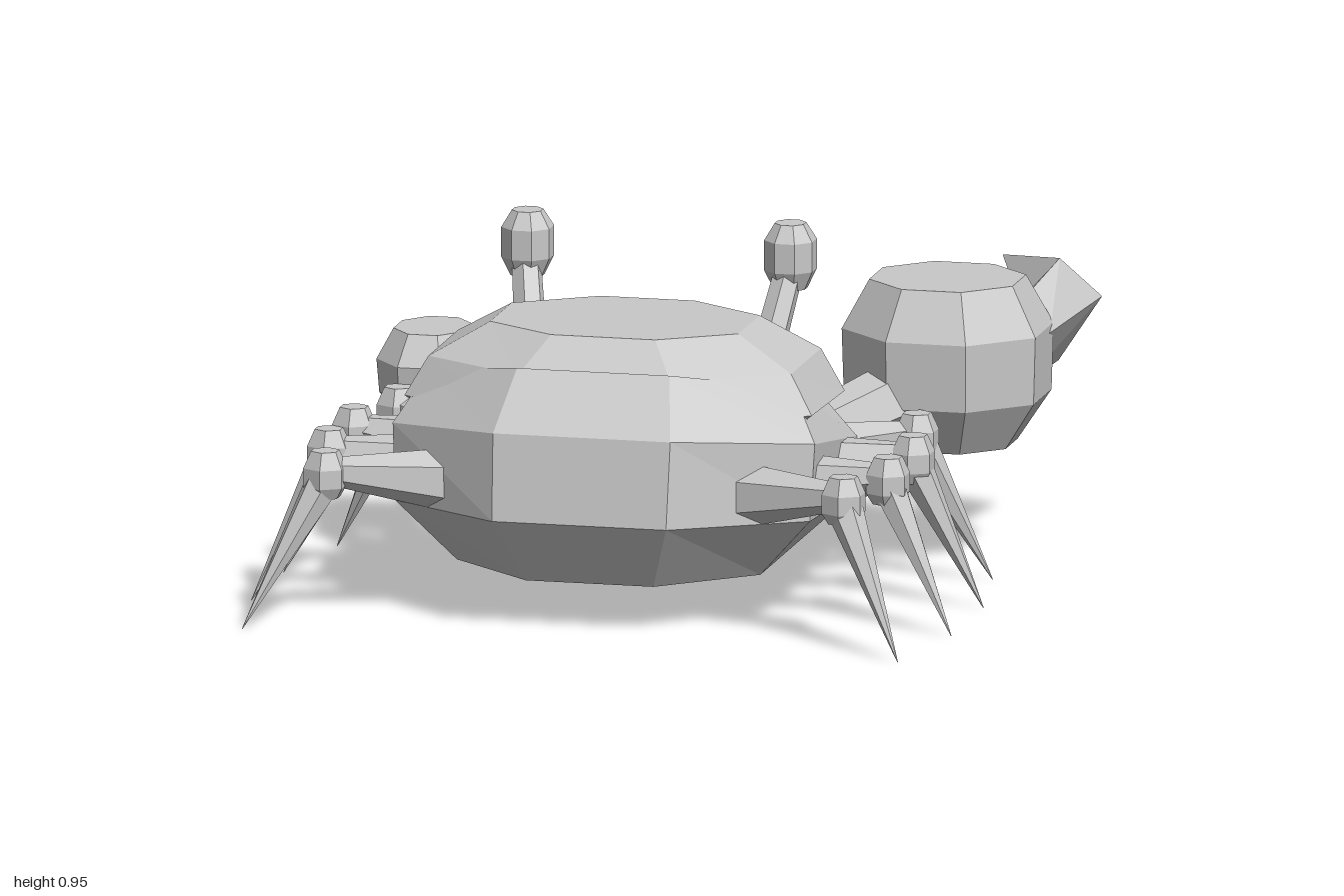
import * as THREE from 'three';
import { ConvexGeometry } from 'three/addons/geometries/ConvexGeometry.js';

const grey = new THREE.MeshStandardMaterial({ color: 0xc8c8c8, flatShading: true });
grey.name = 'shell grey';
const CX = -0.055; // mirror plane of the body
const V = (p) => new THREE.Vector3(...p);

function add(group, name, geometry) {
  const mesh = new THREE.Mesh(geometry, grey);
  mesh.name = name;
  group.add(mesh);
  return mesh;
}

// Joins closed rings of points, listed bottom to top, and caps both ends
function loft(rings) {
  const pos = [];
  const n = rings[0].length;
  const tri = (a, b, c) => pos.push(...a, ...b, ...c);
  const middle = (r) => [0, 1, 2].map((k) => r.reduce((s, p) => s + p[k], 0) / n);
  const bottom = rings[0], top = rings[rings.length - 1];
  for (let j = 0; j < n; j++) {
    const k = (j + 1) % n;
    for (let i = 0; i < rings.length - 1; i++) {
      const r = rings[i], s = rings[i + 1];
      tri(r[j], s[j], s[k]);
      tri(r[j], s[k], r[k]);
    }
    tri(middle(bottom), bottom[j], bottom[k]);
    tri(middle(top), top[k], top[j]);
  }
  const g = new THREE.BufferGeometry();
  g.setAttribute('position', new THREE.Float32BufferAttribute(pos, 3));
  g.computeVertexNormals();
  return g;
}

// Long octagon: heights and depths at the eye end and the tail end
function bodyRing(yFront, yBack, halfX, zFront, zBack) {
  const corners = [[1, 0.5], [0.42, 1], [-0.42, 1], [-1, 0.5], [-1, -0.45], [-0.38, -1], [0.38, -1], [1, -0.45]];
  return corners.map(([x, z]) => {
    const t = (z + 1) / 2;
    return [CX + x * halfX, yFront + (yBack - yFront) * t, zFront + (zBack - zFront) * t];
  });
}

// Regular ring with separate radii in x and z
function ring(x, y, z, rx, rz, n) {
  return Array.from({ length: n }, (_, i) => {
    const a = ((i + 0.5) / n) * Math.PI * 2;
    return [x + Math.cos(a) * rx, y, z + Math.sin(a) * rz];
  });
}

// Faceted knob from [y, scale] pairs
const knob = (x, z, rx, rz, n, profile) =>
  loft(profile.map(([y, s]) => ring(x, y, z, rx * s, rz * s, n)));

// Tapered rod between two points
function rod(from, to, r0, r1, sides = 6) {
  const a = V(from), b = V(to), d = b.clone().sub(a);
  const g = new THREE.CylinderGeometry(r1, r0, d.length(), sides);
  g.applyQuaternion(new THREE.Quaternion().setFromUnitVectors(V([0, 1, 0]), d.clone().normalize()));
  const m = a.add(b).multiplyScalar(0.5);
  return g.translate(m.x, m.y, m.z);
}

// Bent pincer: base and elbow sections, then a pointed tip
function pincer(group, name, base, elbow, tip) {
  add(group, name + 'Base', new ConvexGeometry([...base, ...elbow].map(V)));
  add(group, name + 'Tip', new ConvexGeometry([...elbow, tip].map(V)));
}

export function createModel() {
  const crab = new THREE.Group();
  crab.name = 'crab';

  // Belly and domed upper shell
  add(crab, 'belly', loft([
    bodyRing(0.13, 0.13, 0.41, -0.22, 0.63),
    bodyRing(0.25, 0.31, 0.56, -0.31, 0.75),
    bodyRing(0.38, 0.54, 0.57, -0.27, 0.72),
    bodyRing(0.46, 0.69, 0.49, -0.19, 0.59),
  ]));
  add(crab, 'upperShell', loft([
    bodyRing(0.54, 0.54, 0.52, -0.13, 0.58),
    bodyRing(0.55, 0.57, 0.55, -0.16, 0.62),
    bodyRing(0.67, 0.67, 0.49, -0.12, 0.58),
    bodyRing(0.76, 0.76, 0.335, -0.02, 0.48),
  ]));

  for (const side of [1, -1]) {
    const X = (d) => CX + side * d;
    const label = side > 0 ? 'left' : 'right';

    // Eye stalk, eye and pupil
    const eye = new THREE.Group();
    eye.name = label + 'Eye';
    crab.add(eye);
    add(eye, 'eyeStalk', rod([X(0.315), 0.6, -0.02], [X(0.355), 0.83, -0.13], 0.045, 0.04));
    add(eye, 'eyeball', knob(X(0.355), -0.145, 0.07, 0.072, 8,
      [[0.78, 0.65], [0.83, 1], [0.91, 1], [0.955, 0.6]]));
    add(eye, 'pupil', rod([X(0.355), 0.895, -0.2], [X(0.355), 0.895, -0.22], 0.036, 0.026, 8));

    // Four legs: hip x, hip z, knee x, knee z, tip x, tip z
    const legs = [
      [0.42, 0.02, 0.7, -0.13, 0.885, -0.21],
      [0.5, 0.14, 0.755, 0.14, 0.945, 0.14],
      [0.5, 0.38, 0.755, 0.42, 0.945, 0.5],
      [0.4, 0.54, 0.7, 0.69, 0.885, 0.85],
    ];
    legs.forEach(([hx, hz, kx, kz, tx, tz], i) => {
      const leg = new THREE.Group();
      leg.name = label + 'Leg' + (i + 1);
      crab.add(leg);
      add(leg, 'thigh', rod([X(hx), 0.37, hz], [X(kx), 0.41, kz], 0.085, 0.035));
      add(leg, 'knee', knob(X(kx), kz, 0.06, 0.06, 6,
        [[0.34, 0.7], [0.37, 1], [0.42, 1], [0.465, 0.65]]));
      add(leg, 'shin', rod([X(kx), 0.39, kz], [X(tx), 0.01, tz], 0.05, 0.001));
    });
  }

  // Large claw
  const big = new THREE.Group();
  big.name = 'largeClaw';
  crab.add(big);
  add(big, 'arm', rod([0.34, 0.39, 0], [0.58, 0.48, -0.3], 0.075, 0.1));
  add(big, 'palm', knob(0.658, -0.42, 0.283, 0.268, 8,
    [[0.33, 0.66], [0.46, 0.98], [0.64, 1], [0.77, 0.74]]));
  pincer(big, 'outerPincer',
    [[0.92, 0.62, -0.48], [0.74, 0.6, -0.6], [0.84, 0.7, -0.5], [0.84, 0.47, -0.53]],
    [[1.0, 0.67, -0.73], [0.8, 0.63, -0.67], [0.9, 0.78, -0.67], [0.88, 0.49, -0.74]],
    [0.7, 0.74, -0.86]);
  pincer(big, 'innerPincer',
    [[0.41, 0.52, -0.52], [0.56, 0.52, -0.63], [0.48, 0.6, -0.56], [0.48, 0.45, -0.56]],
    [[0.405, 0.53, -0.72], [0.51, 0.53, -0.68], [0.45, 0.59, -0.7], [0.45, 0.46, -0.71]],
    [0.62, 0.56, -0.81]);

  // Small claw
  const small = new THREE.Group();
  small.name = 'smallClaw';
  crab.add(small);
  add(small, 'arm', rod([-0.4, 0.39, -0.02], [-0.66, 0.46, -0.24], 0.06, 0.055));
  add(small, 'palm', knob(-0.707, -0.32, 0.148, 0.182, 8,
    [[0.36, 0.6], [0.42, 0.95], [0.51, 1], [0.59, 0.7]]));
  for (const s of [1, -1]) {
    const P = (x, y, z) => [-0.707 + s * x, y, z];
    pincer(small, s > 0 ? 'innerPincer' : 'outerPincer',
      [P(0.135, 0.47, -0.38), P(0.05, 0.47, -0.47), P(0.09, 0.53, -0.42), P(0.09, 0.41, -0.42)],
      [P(0.12, 0.48, -0.53), P(0.06, 0.48, -0.49), P(0.09, 0.52, -0.51), P(0.09, 0.44, -0.51)],
      P(0.045, 0.5, -0.565));
  }
  return crab;
}
